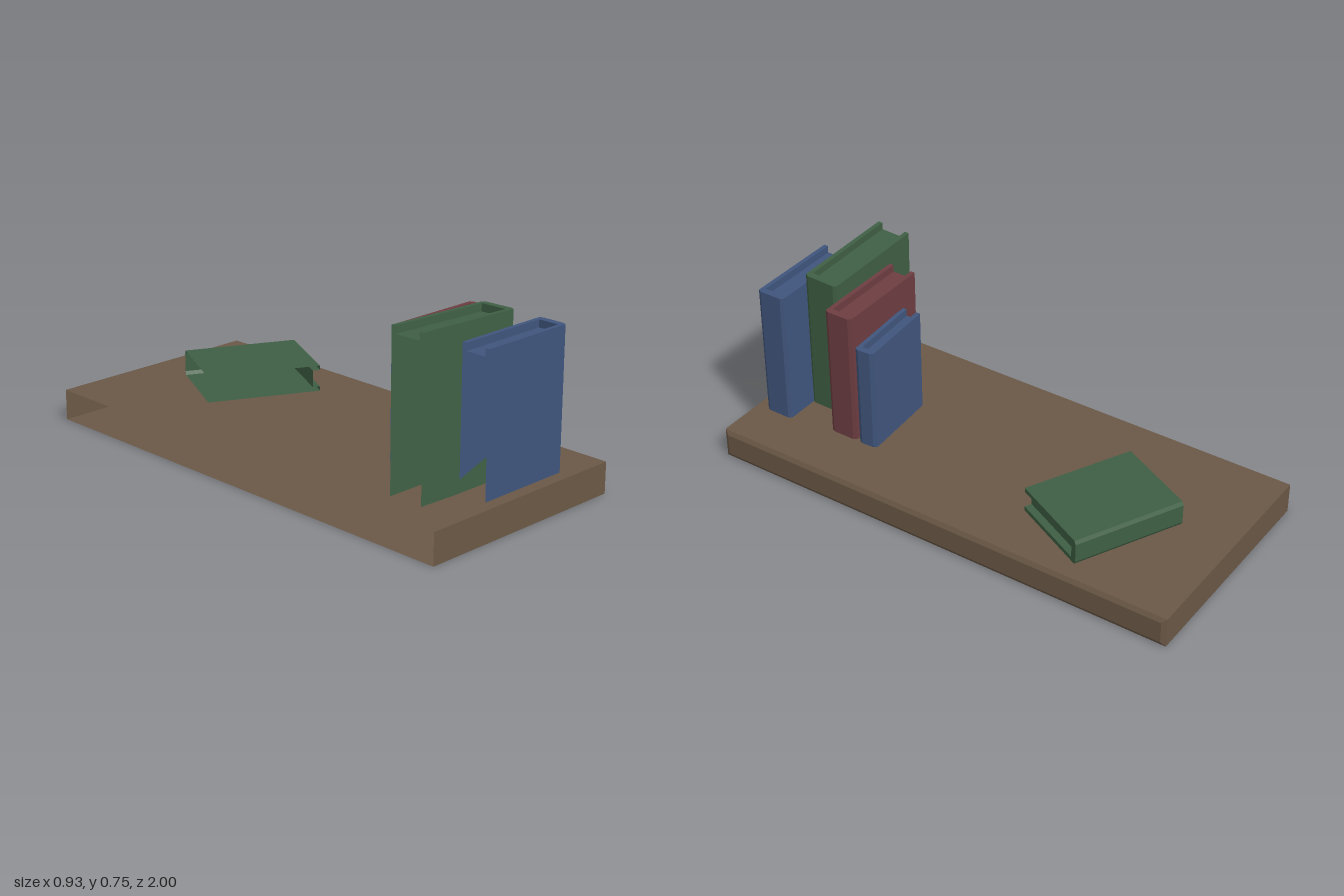
import * as THREE from 'three';

const BROWN = 0x6a5846, BLUE = 0x40557c, GREEN = 0x3f5f44, RED = 0x6d3d41;

// Skin a series of cross-sections with quads; cap is an optional corner list on the last section.
function loft(rows, cap) {
  const pos = [];
  const quad = (a, b, c, d) => [a, b, c, a, c, d].forEach(p => pos.push(...p));
  for (let i = 0; i < rows.length - 1; i++) {
    const lo = rows[i], hi = rows[i + 1];
    for (let j = 0; j < lo.length - 1; j++) quad(lo[j], lo[j + 1], hi[j + 1], hi[j]);
  }
  if (cap) quad(...cap.map(k => rows[rows.length - 1][k]));
  const geo = new THREE.BufferGeometry();
  geo.setAttribute('position', new THREE.Float32BufferAttribute(pos, 3));
  geo.computeVertexNormals();
  return geo;
}

function addMesh(parent, name, geo, color) {
  const mat = new THREE.MeshStandardMaterial({ color, flatShading: true, side: THREE.DoubleSide });
  const mesh = new THREE.Mesh(geo, mat);
  mesh.name = name;
  parent.add(mesh);
  return mesh;
}

// Board with a bevelled right edge and an open left end.
function shelfGeometry() {
  const section = (x, inset) => {
    const top = 0.125 - inset, bottom = inset, z = 1 - inset;
    return [[x, top, -z], [x, top, z], [x, bottom, z], [x, bottom, -z], [x, top, -z]];
  };
  return loft([section(-0.465, 0), section(0.455, 0), section(0.465, 0.018)], [0, 1, 2, 3]);
}

// Cover wrapped round a bevelled spine (+x), open at the fore edge and foot,
// with the page tops sunk below the rim of the cover.
function bookGeometry(width, height, thick) {
  const w = width / 2, t = thick / 2;
  const board = 0.018, spine = 0.028, bevelX = 0.008, bevelZ = 0.014, sink = 0.03;
  const a = w - bevelX, b = t - bevelZ, s = w - spine, p = t - board;
  const outer = [[-w, t], [a, t], [w, b], [w, -b], [a, -t], [-w, -t]];
  const inner = [[-w, p], [s, p], [s, p], [s, -p], [s, -p], [-w, -p]];
  const at = (profile, y) => profile.map(([x, z]) => [x, y, z]);
  return loft(
    [at(outer, 0), at(outer, height), at(inner, height), at(inner, height - sink)],
    [0, 2, 3, 5]
  );
}

export function createModel() {
  const group = new THREE.Group();
  group.name = 'shelfWithBooks';
  addMesh(group, 'shelf', shelfGeometry(), BROWN);

  // name, colour, [width, height, thickness], foot position, rotation
  const books = [
    ['frontBook', BLUE, [0.41, 0.555, 0.12], [0.054, 0.125, 0.89], [0, 0, 0]],
    ['leaningBook', GREEN, [0.463, 0.617, 0.148], [-0.113, 0.121, 0.758], [-0.03, -0.01, -0.028]],
    ['redBook', RED, [0.41, 0.555, 0.12], [0.024, 0.125, 0.59], [0, 0, 0]],
    ['smallBook', BLUE, [0.333, 0.435, 0.08], [0.063, 0.125, 0.483], [0, 0.06, 0]],
    ['lyingBook', GREEN, [0.36, 0.46, 0.105], [-0.096, 0.1875, -0.627], [Math.PI / 2, 1.11, 0]],
  ];
  for (const [name, color, size, position, rotation] of books) {
    const book = addMesh(group, name, bookGeometry(...size), color);
    book.position.set(...position);
    book.rotation.set(...rotation, 'YXZ');
  }
  return group;
}
